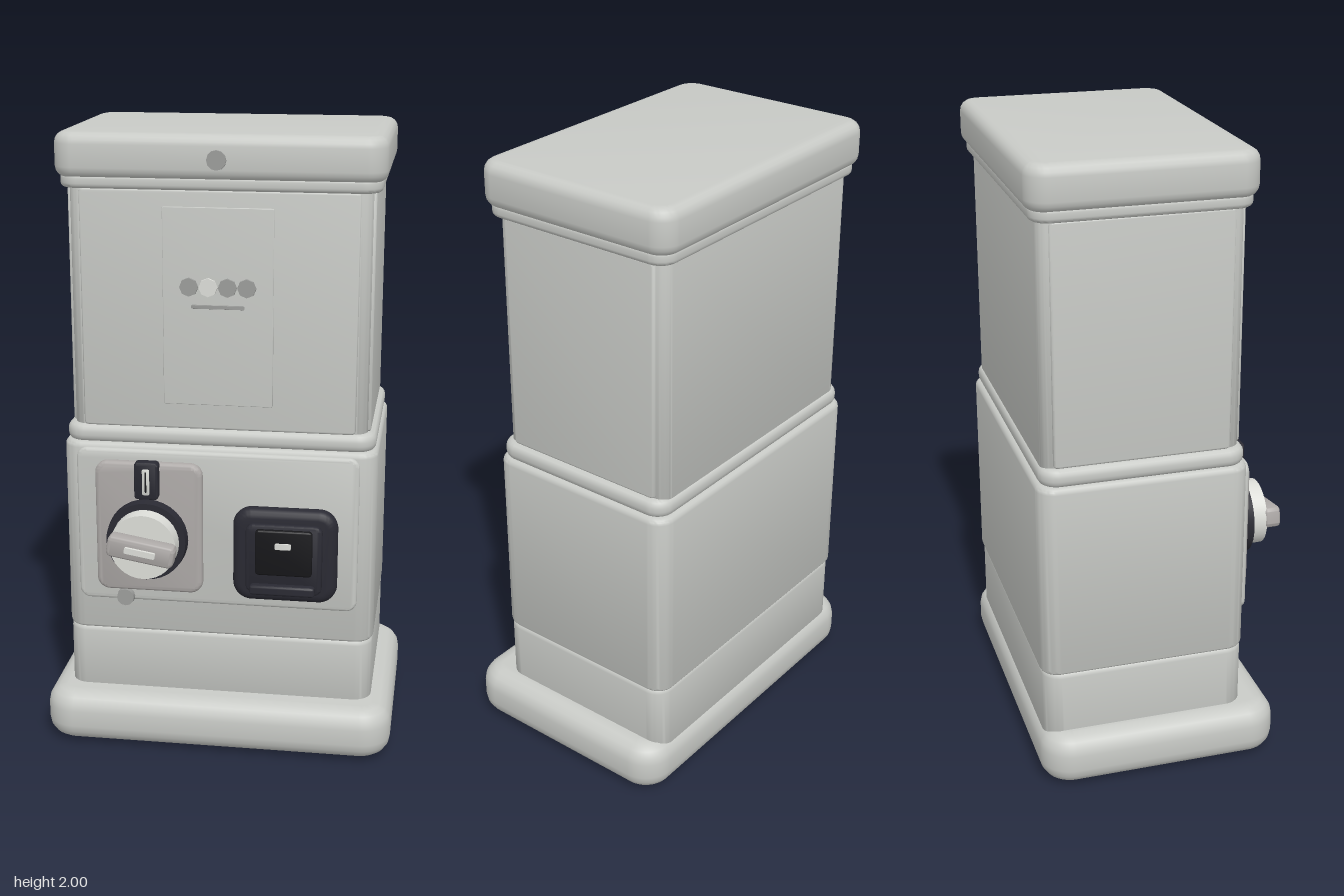
import * as THREE from 'three';
import { toCreasedNormals } from 'three/addons/utils/BufferGeometryUtils.js';

const mat = (name, color) => {
  const m = new THREE.MeshStandardMaterial({ color });
  m.name = name;
  return m;
};

// Rounded rectangle outline centred on the origin
function roundedRect(w, h, r) {
  const s = new THREE.Shape(), x = w / 2, y = h / 2;
  s.moveTo(-x + r, -y);
  s.lineTo(x - r, -y);
  s.absarc(x - r, -y + r, r, -Math.PI / 2, 0, false);
  s.lineTo(x, y - r);
  s.absarc(x - r, y - r, r, 0, Math.PI / 2, false);
  s.lineTo(-x + r, y);
  s.absarc(-x + r, y - r, r, Math.PI / 2, Math.PI, false);
  s.lineTo(-x, -y + r);
  s.absarc(-x + r, -y + r, r, Math.PI, Math.PI * 1.5, false);
  return s;
}

// Block with rounded corners (radius r) and soft rims (bevel b), from z = 0 to z = d
function softBlock(w, h, d, r, b) {
  const geo = new THREE.ExtrudeGeometry(roundedRect(w - 2 * b, h - 2 * b, Math.max(r - b, 0.004)), {
    depth: d - 2 * b, bevelThickness: b, bevelSize: b, bevelSegments: 4, curveSegments: 6,
  });
  geo.translate(0, 0, b);
  return toCreasedNormals(geo, 0.7);
}

export function createModel() {
  const root = new THREE.Group();
  root.name = 'vendingMachine';

  const shell = mat('pale grey shell', 0xc8cac6);
  const plate = mat('warm grey plate', 0xaeaaa8);
  const metal = mat('mid grey metal', 0x9c9d9b);
  const white = mat('off white', 0xdcddd8);
  const dark = mat('dark plastic', 0x2a2a33);
  const black = mat('black rubber', 0x17171a);

  const add = (name, geo, material, parent = root) => {
    const m = new THREE.Mesh(geo, material);
    m.name = name;
    parent.add(m);
    return m;
  };

  // Horizontal layer of the cabinet
  const layer = (name, halfW, y0, y1, z0, z1, r, b, material = shell) => {
    const geo = softBlock(halfW * 2, z1 - z0, y1 - y0, r, b);
    geo.rotateX(-Math.PI / 2);
    return add(name, geo.translate(0, y0, (z0 + z1) / 2), material);
  };

  // Plate on the front, given by its x, y and z ranges
  const front = (name, x0, x1, y0, y1, z0, z1, r, b, material) =>
    add(name, softBlock(x1 - x0, y1 - y0, z1 - z0, r, b)
      .translate((x0 + x1) / 2, (y0 + y1) / 2, z0), material);

  // Disc facing the front
  const disc = (name, x, y, z0, z1, r0, r1, sides, material) => {
    const geo = toCreasedNormals(new THREE.CylinderGeometry(r1, r0, z1 - z0, sides), 0.7);
    geo.rotateX(Math.PI / 2);
    return add(name, geo.translate(x, y, (z0 + z1) / 2), material);
  };

  // Cabinet, bottom to top
  layer('base', 0.57, 0.008, 0.18, -0.43, 0.35, 0.1, 0.06);
  layer('plinth', 0.5, 0.14, 0.39, -0.413, 0.245, 0.06, 0.02);
  layer('lowerBody', 0.503, 0.38, 1.025, -0.42, 0.248, 0.06, 0.02);
  layer('waistBand', 0.495, 1.02, 1.08, -0.41, 0.24, 0.06, 0.024);
  layer('upperBody', 0.468, 1.06, 1.85, -0.4, 0.222, 0.04, 0.01);
  layer('lidLip', 0.495, 1.83, 1.875, -0.42, 0.247, 0.06, 0.015);
  layer('lid', 0.51, 1.86, 2.0, -0.436, 0.262, 0.07, 0.035);

  // Rubber strips under the base
  for (const s of [-1, 1]) {
    add('footStrip', new THREE.BoxGeometry(0.11, 0.012, 0.46).translate(s * 0.39, 0.006, -0.01), black);
  }

  // Upper panels: front window and the two sides
  front('upperFrontPanel', -0.432, 0.432, 1.078, 1.832, 0.2, 0.232, 0.015, 0.008, shell);
  for (const s of [-1, 1]) {
    const geo = softBlock(0.555, 0.754, 0.03, 0.015, 0.008);
    geo.rotateY(s * Math.PI / 2);
    add('upperSidePanel', geo.translate(s * 0.447, 1.455, -0.09), shell);
  }

  // Display card with a row of dots and an underline
  front('card', -0.172, 0.172, 1.16, 1.78, 0.228, 0.238, 0.006, 0.002, shell);
  [-0.09, -0.03, 0.03, 0.09].forEach((x, i) =>
    disc('cardDot', x, 1.535, 0.235, 0.245, 0.03, 0.029, 8, i === 1 ? white : metal));
  front('cardLine', -0.083, 0.083, 1.468, 1.48, 0.235, 0.243, 0.004, 0.001, metal);

  // Lid lock
  disc('lidLock', 0, 1.925, 0.25, 0.268, 0.032, 0.03, 12, metal);

  // Lower front panel
  front('lowerFrontPanel', -0.455, 0.45, 0.495, 1.01, 0.23, 0.262, 0.035, 0.012, shell);
  disc('panelLock', -0.3, 0.51, 0.25, 0.28, 0.03, 0.028, 12, metal);

  // Coin plate and slot
  front('coinPlate', -0.39, -0.045, 0.54, 0.975, 0.25, 0.29, 0.04, 0.015, plate);
  front('coinSlotBlock', -0.257, -0.18, 0.863, 0.985, 0.28, 0.318, 0.012, 0.006, dark);
  front('coinSlotFace', -0.23, -0.207, 0.88, 0.965, 0.314, 0.322, 0.004, 0.001, white);
  front('coinSlit', -0.221, -0.216, 0.888, 0.957, 0.318, 0.324, 0.002, 0.0005, black);

  // Turning knob with a tilted grip
  const kx = -0.22, ky = 0.725;
  disc('knobRing', kx, ky, 0.28, 0.326, 0.132, 0.128, 32, dark);
  disc('knobBody', kx, ky, 0.32, 0.378, 0.108, 0.106, 32, white);
  const grip = new THREE.Group();
  grip.name = 'knobGrip';
  grip.position.set(kx, ky, 0.37);
  grip.rotation.z = -0.17;
  root.add(grip);
  add('gripBar', softBlock(0.216, 0.07, 0.055, 0.018, 0.012), plate, grip);
  add('gripPlate', softBlock(0.1, 0.022, 0.01, 0.005, 0.002).translate(0, 0, 0.052), white, grip);

  // Delivery hatch: stepped frame, door and tray lip
  front('hatchFrame', 0.055, 0.388, 0.535, 0.845, 0.25, 0.31, 0.06, 0.028, dark);
  front('hatchStep', 0.1, 0.342, 0.572, 0.802, 0.3, 0.33, 0.025, 0.01, dark);
  front('hatchDoor', 0.132, 0.312, 0.64, 0.79, 0.32, 0.345, 0.012, 0.006, black);
  front('hatchLip', 0.115, 0.322, 0.575, 0.607, 0.31, 0.355, 0.012, 0.008, dark);
  front('hatchTag', 0.195, 0.246, 0.73, 0.75, 0.342, 0.35, 0.004, 0.001, white);

  return root;
}
